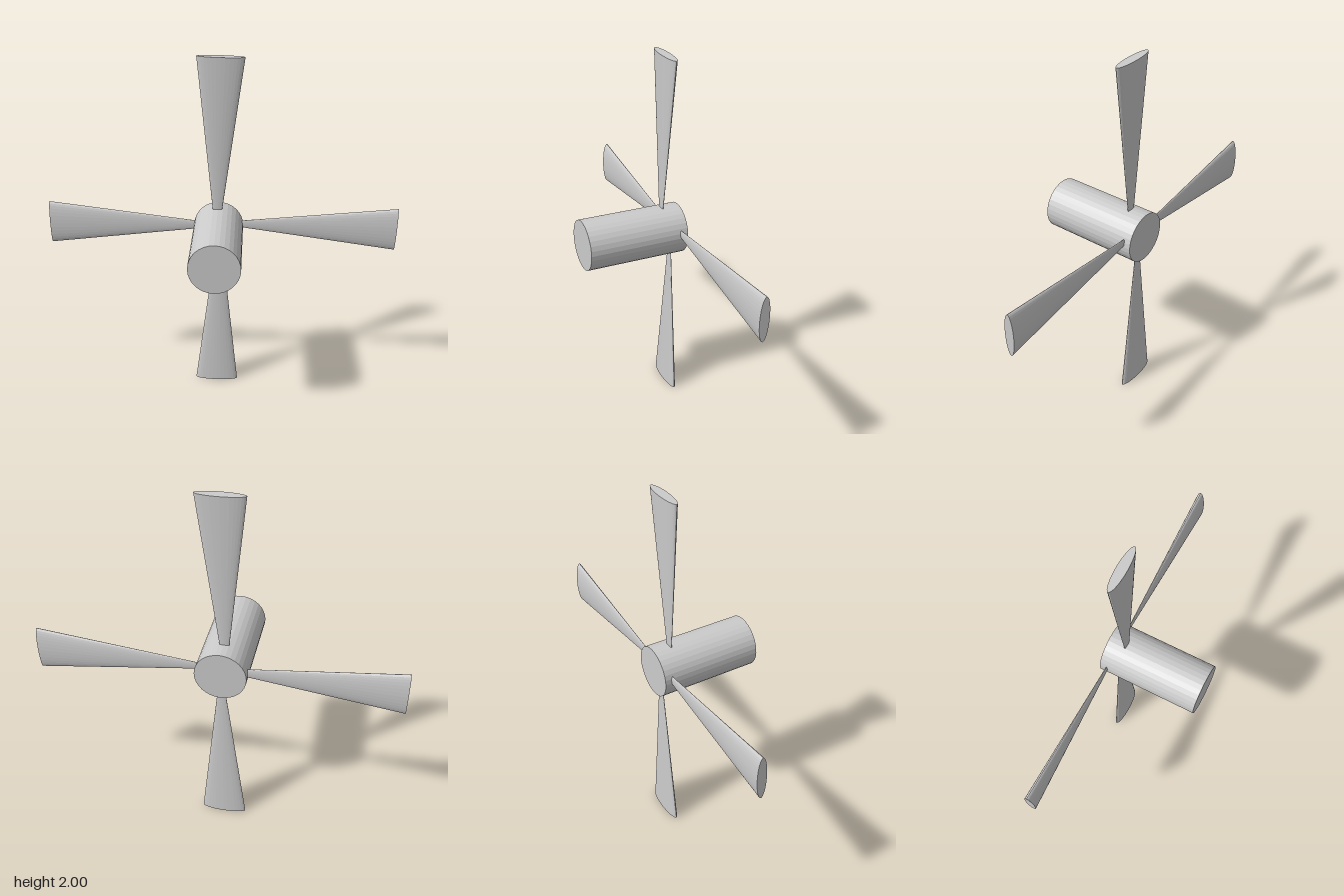
import * as THREE from 'three';

const material = new THREE.MeshStandardMaterial({ color: 0xcccccc, flatShading: true });
const UP = new THREE.Vector3(0, 1, 0);

// A flattened cone frustum widening from its root to its tip
function makeBlade(name, root, tip, rootWidth) {
  const a = new THREE.Vector3(...root);
  const b = new THREE.Vector3(...tip);
  const axis = b.clone().sub(a);
  const geometry = new THREE.CylinderGeometry(0.125, rootWidth / 2, axis.length(), 32);
  geometry.scale(1, 1, 0.21);
  const blade = new THREE.Mesh(geometry, material);
  blade.name = name;
  blade.position.copy(a).add(b).multiplyScalar(0.5);
  // Turn within the plane of the rotor
  blade.quaternion.setFromAxisAngle(new THREE.Vector3(0, 0, 1), Math.atan2(-axis.x, axis.dot(UP)));
  return blade;
}

export function createModel() {
  const model = new THREE.Group();
  model.name = 'rotor';

  // Hub lying along z
  const hub = new THREE.Mesh(new THREE.CylinderGeometry(0.138, 0.138, 0.555, 32), material);
  hub.name = 'hub';
  hub.geometry.rotateX(Math.PI / 2);
  hub.position.set(-0.027, 1.018, 0);
  model.add(hub);

  // Four slightly uneven blades near the back of the hub
  const blades = [
    ['topBlade', [-0.03, 1.145, -0.18], [-0.011, 1.997, -0.18], 0.05],
    ['bottomBlade', [-0.025, 0.885, -0.232], [-0.039, 0.003, -0.232], 0.042],
    ['leftBlade', [0.105, 1.042, -0.237], [0.967, 1.023, -0.237], 0.042],
    ['rightBlade', [-0.163, 1.034, -0.237], [-0.975, 1.037, -0.237], 0.052],
  ];
  for (const blade of blades) model.add(makeBlade(...blade));

  return model;
}
